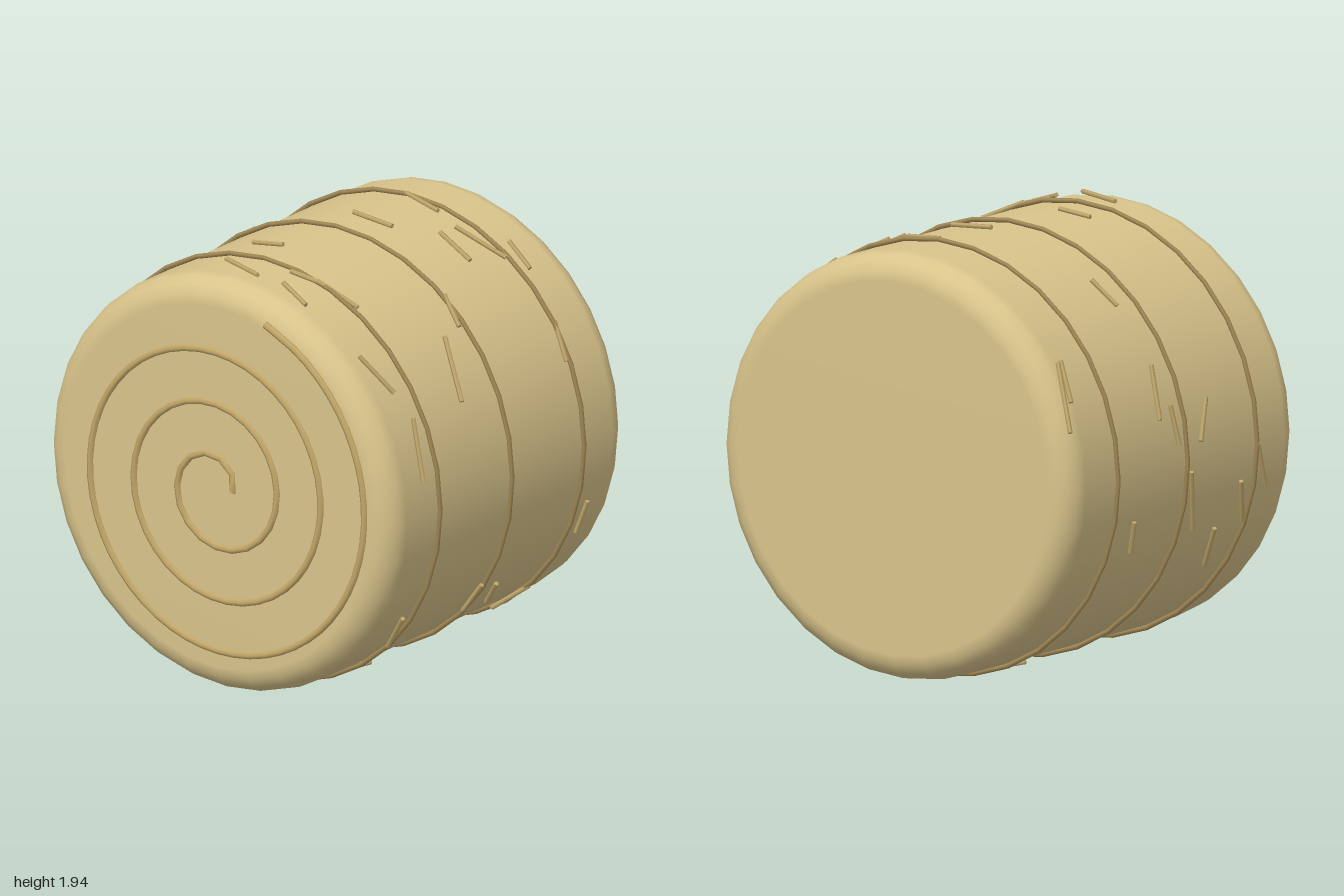
import * as THREE from 'three';

const CY = 1.005, R = 0.945, ZB = -0.865, ZF = 0.848;
const mat = (color) => new THREE.MeshStandardMaterial({ color });

export function createModel() {
  const model = new THREE.Group();
  model.name = 'roundBale';
  const add = (name, geo, material, parent = model) => {
    const mesh = new THREE.Mesh(geo, material);
    mesh.name = name;
    parent.add(mesh);
    return mesh;
  };
  const hay = mat(0xd9c48b), twine = mat(0xa08754), coil = mat(0xc4a869), stalk = mat(0xc2a86c);

  // Bale body: rounded drum lying along z
  const c = 0.12, steps = 4, profile = [new THREE.Vector2(0, ZB)];
  for (let i = 0; i <= steps; i++) {
    const a = (i / steps) * Math.PI / 2;
    profile.push(new THREE.Vector2(R - c + c * Math.sin(a), ZB + c - c * Math.cos(a)));
  }
  for (let i = 0; i <= steps; i++) {
    const a = (i / steps) * Math.PI / 2;
    profile.push(new THREE.Vector2(R - c + c * Math.cos(a), ZF - c + c * Math.sin(a)));
  }
  profile.push(new THREE.Vector2(0, ZF));
  const body = add('baleBody', new THREE.LatheGeometry(profile, 32), hay);
  body.rotation.x = Math.PI / 2;
  body.position.y = CY;

  // Twine loops round the drum
  for (const z of [0.508, -0.008, -0.524]) {
    add('twineLoop', new THREE.TorusGeometry(0.957, 0.011, 6, 32), twine).position.set(0, CY, z);
  }

  // Raised spiral on the front face
  const turns = 3.2, pts = [];
  for (let i = 0; i <= 80; i++) {
    const t = (i / 80) * turns, r = 0.09 + 0.2375 * t, a = t * Math.PI * 2;
    pts.push(new THREE.Vector3(r * Math.cos(a), CY - 0.005 + r * Math.sin(a), ZF - 0.002));
  }
  const spiral = new THREE.TubeGeometry(new THREE.CatmullRomCurve3(pts), 110, 0.017, 6);
  add('frontSpiral', spiral, coil);

  // Loose stalks tangent to the drum: [angle in degrees, z, length round the drum, length along z]
  const upper = [
    [155, -0.8, -0.31, 0.09], [151, -0.745, -0.19, 0.05], [84, -0.495, -0.21, 0.05],
    [62.6, -0.465, -0.25, -0.07], [54.5, -0.59, -0.16, 0.02], [29, -0.515, -0.18, 0.03],
    [64.6, -0.32, -0.2, 0.02], [86, -0.185, -0.22, 0.01], [130, -0.15, -0.16, -0.02],
    [160, -0.165, -0.24, 0.05], [169.5, -0.08, -0.18, -0.02], [170, 0.13, -0.18, 0.08],
    [48, 0.005, -0.16, 0.05], [33.7, 0.2, -0.29, 0.09], [97, 0.325, -0.16, -0.01],
    [76, 0.525, -0.13, -0.03], [66, 0.495, -0.22, -0.03], [90.5, 0.655, -0.24, 0.09],
    [71.7, 0.685, -0.17, 0.05], [40.5, 0.66, -0.21, -0.07], [18, 0.6, -0.28, 0.04],
  ];
  const lower = [
    [-22, -0.6, -0.17, 0], [-38, 0.56, -0.23, -0.08], [-37.5, 0.015, -0.18, -0.01],
    [-40, -0.155, -0.17, -0.07], [-53, -0.5, -0.2, 0.06], [-70, 0.395, 0.27, -0.11],
    [-82, 0.03, 0.25, -0.1], [256, -0.35, 0.19, -0.04], [265, -0.41, 0.15, -0.03],
    [280, -0.645, 0.12, -0.03], [191, 0.05, 0.28, 0.08], [186, 0.55, 0.2, 0.08],
    [195, 0.44, 0.2, 0.08], [197, -0.36, 0.15, 0.03], [207, 0.3, 0.2, 0.05],
  ];
  const stalks = new THREE.Group();
  stalks.name = 'looseStalks';
  model.add(stalks);
  const up = new THREE.Vector3(0, 1, 0);
  for (const [deg, z, around, along] of [...upper, ...lower]) {
    const a = THREE.MathUtils.degToRad(deg), r = 0.955;
    const dir = new THREE.Vector3(-Math.sin(a) * around, Math.cos(a) * around, along);
    const geo = new THREE.CylinderGeometry(0.011, 0.011, dir.length(), 5);
    const mesh = add('stalk', geo, stalk, stalks);
    mesh.position.set(r * Math.cos(a), CY + r * Math.sin(a), z);
    mesh.quaternion.setFromUnitVectors(up, dir.normalize());
  }
  return model;
}
